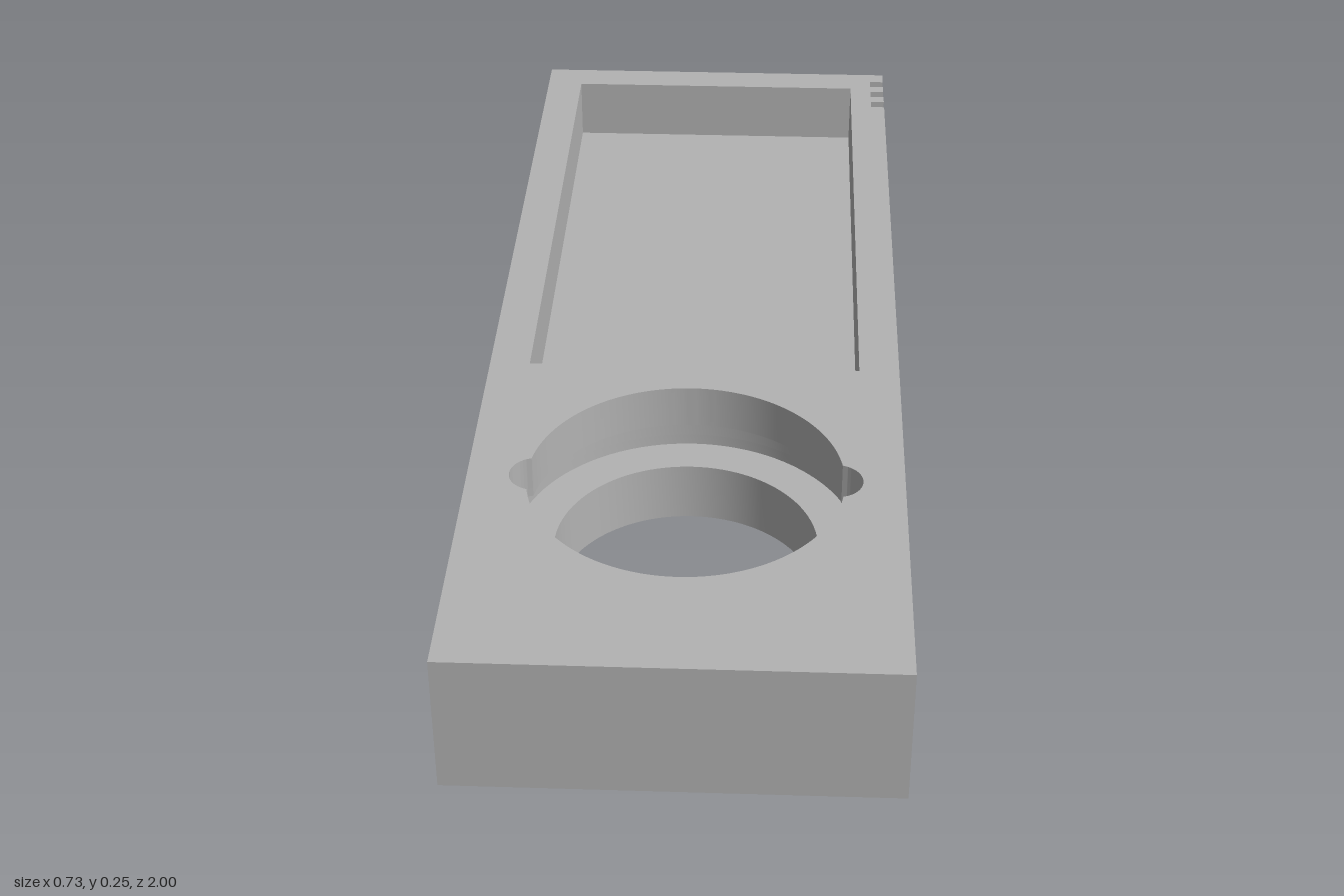
import * as THREE from 'three';
import { toCreasedNormals } from 'three/addons/utils/BufferGeometryUtils.js';

const W = 0.365, L = 1;      // half width and half length
const BORE_Y = -0.517;       // bore centre in plan (plan y = -z)

// Block outline with three small slots in the left edge near the back
function outline() {
  const s = new THREE.Shape();
  s.moveTo(-W, -L);
  s.lineTo(W, -L);
  for (const y of [0.846, 0.894, 0.942]) {
    s.lineTo(W, y);
    s.lineTo(W - 0.028, y);
    s.lineTo(W - 0.028, y + 0.024);
    s.lineTo(W, y + 0.024);
  }
  s.lineTo(W, L);
  s.lineTo(-W, L);
  s.closePath();
  return s;
}

function circle(r) {
  const p = new THREE.Path();
  p.absarc(0, BORE_Y, r, 0, Math.PI * 2, false);
  return p;
}

// Round opening with a rounded entry notch on each side
function notchedCircle(R, c, r) {
  const x = (R * R + c * c - r * r) / (2 * c);
  const y = Math.sqrt(R * R - x * x);
  const a = Math.atan2(y, x), b = Math.atan2(y, x - c);
  const p = new THREE.Path();
  p.absarc(0, BORE_Y, R, a, Math.PI - a, false);
  p.absarc(-c, BORE_Y, r, Math.PI - b, Math.PI + b, false);
  p.absarc(0, BORE_Y, R, Math.PI + a, Math.PI * 2 - a, false);
  p.absarc(c, BORE_Y, r, -b, b, false);
  return p;
}

function pocket() {
  const p = new THREE.Path();
  p.moveTo(-0.294, -0.184);
  p.lineTo(-0.294, 0.932);
  p.lineTo(0.294, 0.932);
  p.lineTo(0.294, -0.184);
  p.closePath();
  return p;
}

export function createModel() {
  const group = new THREE.Group();
  group.name = 'slottedBlock';
  const gray = new THREE.MeshStandardMaterial({ color: 0xb3b3b3 });
  gray.name = 'gray';

  // Slabs stacked from the ground up, each with its own openings
  const layers = [
    ['baseWithBore', 0, 0.11, [circle(0.224)]],
    ['grooveFloorLayer', 0.11, 0.13, [circle(0.295)]],
    ['grooveAndPocketLayer', 0.13, 0.172, [circle(0.295), pocket()]],
    ['lipAndPocketLayer', 0.172, 0.25, [notchedCircle(0.265, 0.25, 0.045), pocket()]],
  ];
  for (const [name, y0, y1, holes] of layers) {
    const shape = outline();
    shape.holes.push(...holes);
    const geo = new THREE.ExtrudeGeometry(shape, { depth: y1 - y0, bevelEnabled: false, curveSegments: 48 });
    geo.rotateX(-Math.PI / 2);
    geo.translate(0, y0, 0);
    const mesh = new THREE.Mesh(toCreasedNormals(geo, 0.5), gray);
    mesh.name = name;
    group.add(mesh);
  }
  return group;
}
